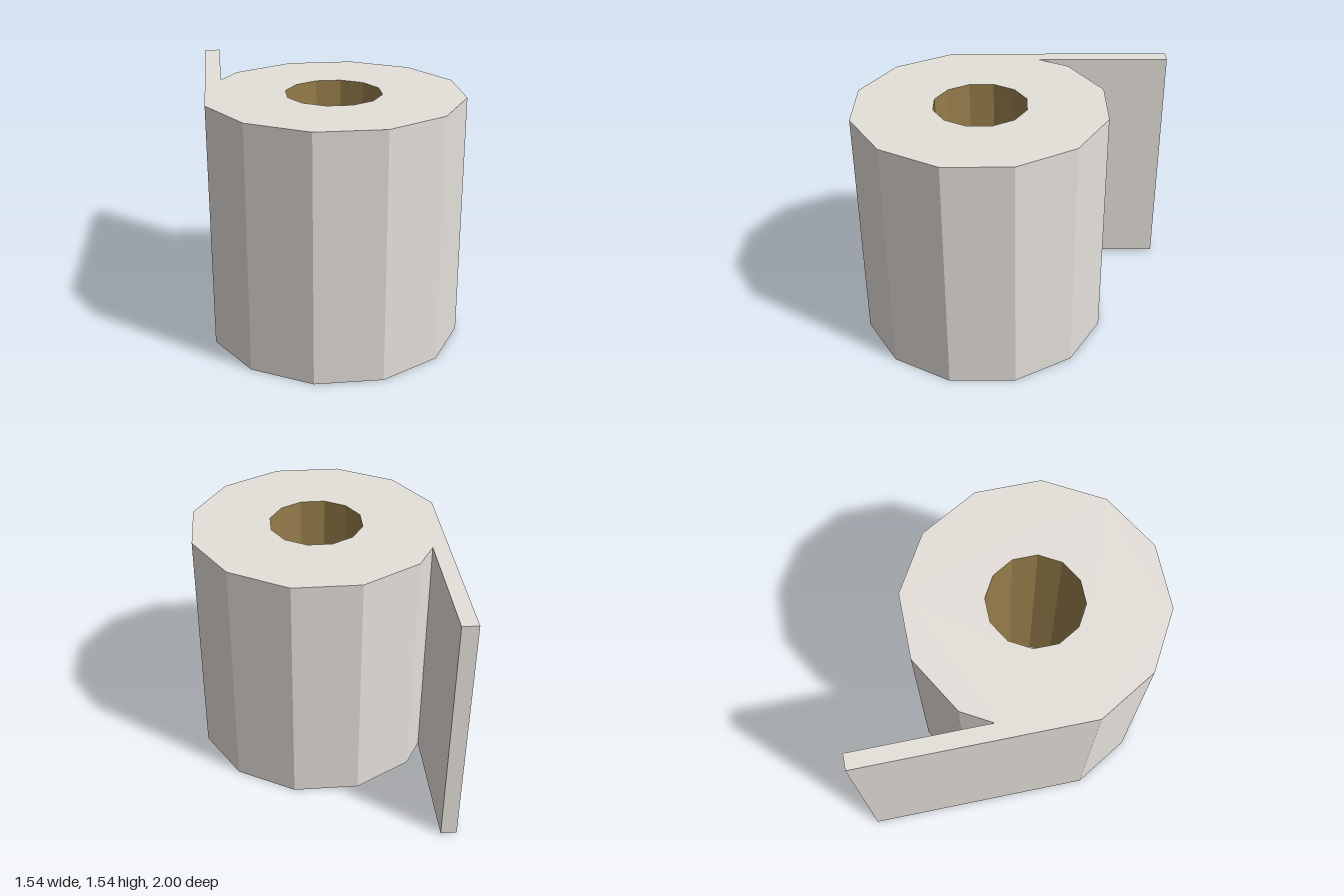
import * as THREE from 'three';

const SIDES = 12, HEIGHT = 1.54, CENTER = -0.23;

// Corners of a twelve-sided ring with flat sides facing the axes
function ring(radius) {
  return Array.from({ length: SIDES }, (_, i) => {
    const a = (i + 0.5) * Math.PI * 2 / SIDES;
    return new THREE.Vector2(Math.cos(a) * radius, CENTER + Math.sin(a) * radius);
  });
}

export function createModel() {
  const paper = new THREE.MeshStandardMaterial({ color: 0xe4dfd9 });
  paper.name = 'paper';
  const cardboard = new THREE.MeshStandardMaterial({ color: 0x967d4b });
  cardboard.name = 'cardboard';

  // Outline of the roll; the corner at 165 degrees becomes the loose sheet
  const outline = ring(0.797);
  const edge = outline[6].x;
  outline.splice(5, 1,
    new THREE.Vector2(edge + 0.1, 0.15),
    new THREE.Vector2(edge + 0.1, 1),
    new THREE.Vector2(edge, 1));
  const shape = new THREE.Shape(outline);
  shape.holes.push(new THREE.Path(ring(0.295).reverse()));

  const geometry = new THREE.ExtrudeGeometry(shape, { depth: HEIGHT, bevelEnabled: false });
  geometry.rotateX(-Math.PI / 2);

  // The hole's walls are the last faces: paint them as the cardboard core
  const total = geometry.attributes.position.count;
  const core = SIDES * 6;
  geometry.clearGroups();
  geometry.addGroup(0, total - core, 0);
  geometry.addGroup(total - core, core, 1);

  const roll = new THREE.Mesh(geometry, [paper, cardboard]);
  roll.name = 'paperRoll';

  const model = new THREE.Group();
  model.name = 'rollWithLooseSheet';
  model.add(roll);
  return model;
}
